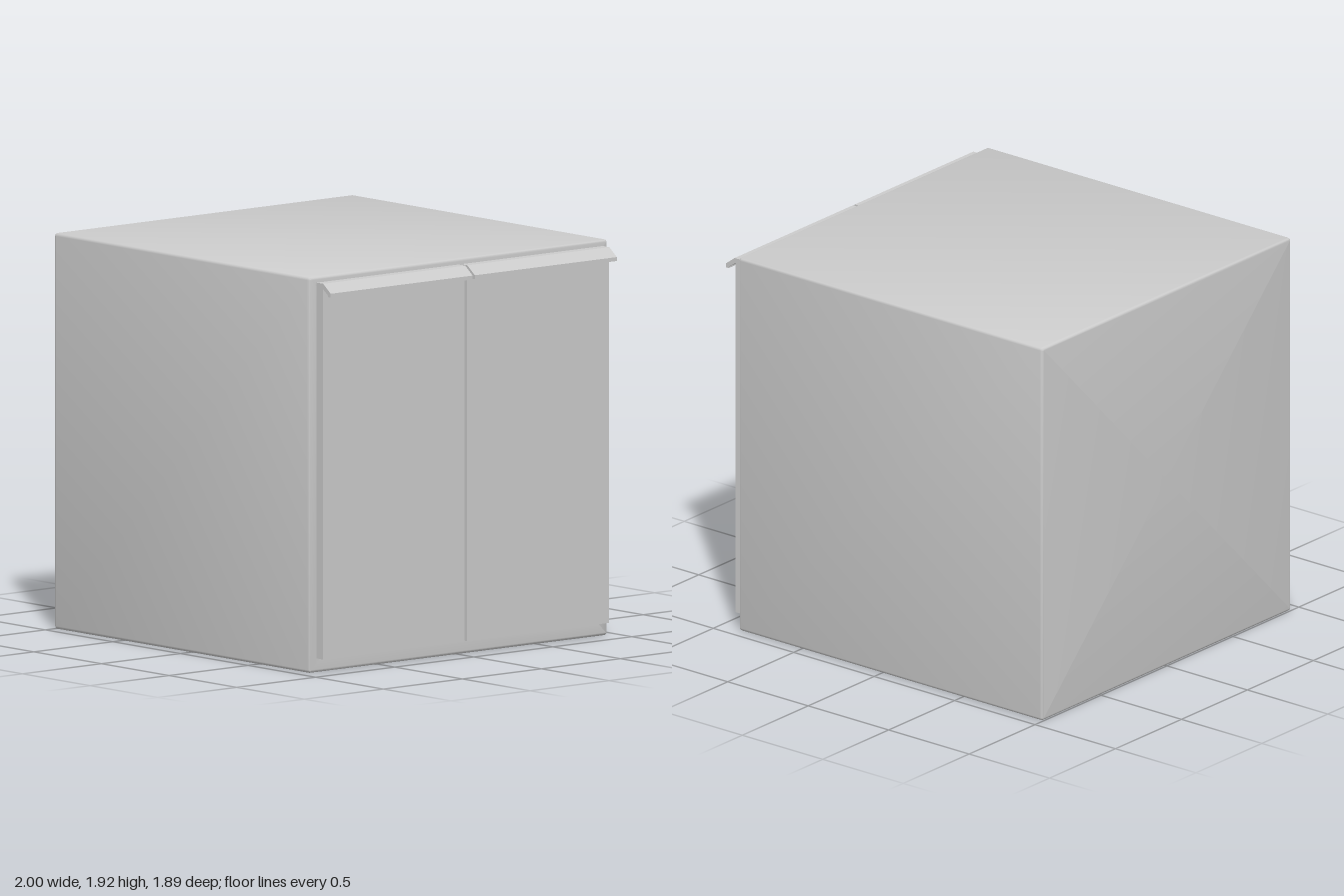
import * as THREE from 'three';
import { toCreasedNormals } from 'three/addons/utils/BufferGeometryUtils.js';

const material = new THREE.MeshStandardMaterial({ color: 0xcccccc });

const HALF_DEPTH = 0.945, HALF_HEIGHT = 0.9625;
const BACK = -1, FRONT = 0.888, EDGE = 0.015, WALL = 0.11;

// Rounded rectangle in the y-z plane, shrunk by inset from the outer size
function ring(x, inset) {
  const radius = Math.max(EDGE - inset, 0.001);
  const h = HALF_HEIGHT - inset - radius, d = HALF_DEPTH - inset - radius;
  const points = [];
  const signs = [[1, 1], [-1, 1], [-1, -1], [1, -1]];
  signs.forEach(([sy, sz], q) => {
    for (let k = 0; k <= 4; k++) {
      const a = (q + k / 4) * Math.PI / 2;
      points.push([x, HALF_HEIGHT + sy * h + radius * Math.cos(a), sz * d + radius * Math.sin(a)]);
    }
  });
  return points;
}

// Hollow carcass: one skin from the back, over the sides and into the opening
function carcassGeometry() {
  const arc = (cx, ci, from, to) => Array.from({ length: 5 }, (_, k) => {
    const a = from + (to - from) * k / 4;
    return ring(cx + EDGE * Math.sin(a), ci - EDGE * Math.cos(a));
  });
  const centre = x => ring(x, 0).map(() => [x, HALF_HEIGHT, 0]);
  const rings = [
    centre(BACK),
    ...arc(BACK + EDGE, EDGE, -Math.PI / 2, 0),
    ...arc(FRONT - EDGE, EDGE, 0, Math.PI / 2),
    ...arc(FRONT - EDGE, WALL - EDGE, Math.PI / 2, Math.PI),
    ring(BACK + WALL, WALL),
    centre(BACK + WALL),
  ];
  const n = rings[0].length, index = [];
  for (let i = 0; i < rings.length - 1; i++) {
    for (let j = 0; j < n; j++) {
      const a = i * n + j, b = i * n + (j + 1) % n;
      if (i > 0) index.push(a, b, a + n);
      if (i < rings.length - 2) index.push(b, b + n, a + n);
    }
  }
  const geometry = new THREE.BufferGeometry();
  geometry.setAttribute('position', new THREE.Float32BufferAttribute(rings.flat(2), 3));
  geometry.setIndex(index);
  return toCreasedNormals(geometry, 0.6);
}

// Door section with a sloping grip lip along the top
function doorGeometry(width) {
  const section = new THREE.Shape([
    [0.896, 0.07], [0.941, 0.07], [0.941, 1.872], [0.981, 1.843],
    [0.981, 1.836], [1, 1.836], [1, 1.855], [0.945, 1.897], [0.896, 1.897],
  ].map(([x, y]) => new THREE.Vector2(x, y)));
  return new THREE.ExtrudeGeometry(section, { depth: width, bevelEnabled: false });
}

export function createModel() {
  const model = new THREE.Group();
  model.name = 'cabinet';

  const carcass = new THREE.Mesh(carcassGeometry(), material);
  carcass.name = 'carcass';
  model.add(carcass);

  // Pair of doors with a narrow gap between them
  const width = 0.898, gap = 0.007;
  const geometry = doorGeometry(width);
  [['frontDoor', gap], ['rearDoor', -gap - width]].forEach(([name, z]) => {
    const door = new THREE.Mesh(geometry, material);
    door.name = name;
    door.position.z = z;
    model.add(door);
  });
  return model;
}
